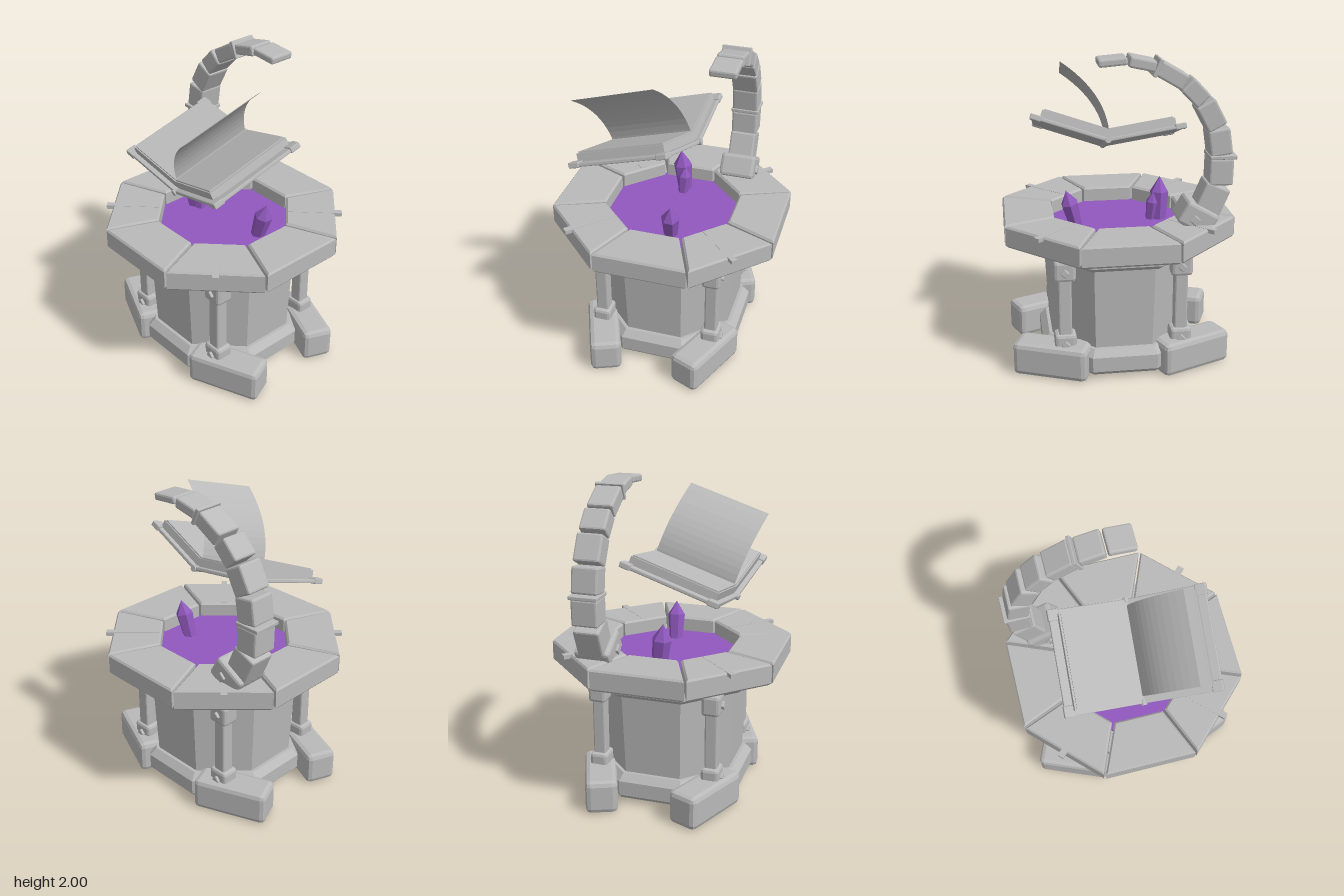
import * as THREE from 'three';
import { RoundedBoxGeometry } from 'three/addons/geometries/RoundedBoxGeometry.js';

const stone = new THREE.MeshStandardMaterial({ color: 0xb9b9b9, flatShading: true });
stone.name = 'grey stone';
const paper = new THREE.MeshStandardMaterial({ color: 0xb9b9b9, flatShading: true, side: THREE.DoubleSide });
paper.name = 'grey paper';
const purple = new THREE.MeshStandardMaterial({ color: 0x9058bd, flatShading: true });
purple.name = 'purple magic';

function add(parent, name, geometry, material, x = 0, y = 0, z = 0) {
  const m = new THREE.Mesh(geometry, material);
  m.name = name;
  m.position.set(x, y, z);
  parent.add(m);
  return m;
}

// box with chamfered edges
const block = (w, h, d, b = 0.012) => new RoundedBoxGeometry(w, h, d, 1, b);

// octagonal drum with flats on the axes; a0 and a1 are centre-to-flat distances
function drum(parent, name, material, y0, y1, a0, a1 = a0) {
  const k = Math.cos(Math.PI / 8);
  const g = new THREE.CylinderGeometry(a1 / k, a0 / k, y1 - y0, 8).rotateY(Math.PI / 8);
  return add(parent, name, g, material, 0, (y0 + y1) / 2, 0);
}

function buildWell(root) {
  drum(root, 'plinthFoot', stone, 0.035, 0.06, 0.47, 0.49);
  drum(root, 'plinth', stone, 0.06, 0.155, 0.49);
  drum(root, 'plinthSlope', stone, 0.155, 0.2, 0.49, 0.45);
  drum(root, 'body', stone, 0.2, 0.74, 0.43, 0.455);
  drum(root, 'mouldingSlope', stone, 0.73, 0.76, 0.485, 0.52);
  drum(root, 'moulding', stone, 0.76, 0.8, 0.52);
  drum(root, 'rimSupport', stone, 0.795, 0.85, 0.55);
  drum(root, 'pool', purple, 0.845, 0.885, 0.42);

  // eight wedge stones around the pool
  const b = 0.012, t = Math.tan(Math.PI / 8), inner = 0.4 + b, outer = 0.715 - b;
  const wi = inner * t - 0.01 - b, wo = outer * t - 0.006 - b;
  const wedge = new THREE.Shape([[-wi, inner], [wi, inner], [wo, outer], [-wo, outer]]
    .map(p => new THREE.Vector2(...p)));
  const rimGeo = new THREE.ExtrudeGeometry(wedge, {
    depth: 0.135 - 2 * b, bevelEnabled: true, bevelSize: b, bevelThickness: b, bevelSegments: 1
  }).rotateX(Math.PI / 2).translate(0, 0.98 - b, 0);
  for (let i = 0; i < 8; i++) {
    const s = add(root, 'rimStone', rimGeo, stone);
    s.rotation.y = i * Math.PI / 4;
    // flush tie bars across the diagonal stones
    if (i % 2) {
      const bar = new THREE.BoxGeometry(0.04, 0.025, 0.34).translate(0, 0.969, 0.585);
      add(root, 'tieBar', bar, stone).rotation.y = i * Math.PI / 4;
    }
  }
}

// square stud turned on its point, facing along z
function stud(parent, x, y, z, s = 0.042) {
  add(parent, 'stud', block(s, s, 0.03, 0.006), stone, x, y, z).rotation.z = Math.PI / 4;
}

function buildLegs(root) {
  for (const sx of [-1, 1]) for (const sz of [-1, 1]) {
    const leg = new THREE.Group();
    leg.name = 'leg';
    const x = sx * 0.362, z = sz * 0.365;
    add(leg, 'column', block(0.082, 0.5, 0.08, 0.01), stone, x, 0.45, z);
    add(leg, 'capital', block(0.135, 0.135, 0.115, 0.02), stone, x, 0.71, z);
    add(leg, 'capitalTop', block(0.085, 0.04, 0.08, 0.008), stone, x, 0.775, z);
    add(leg, 'columnBase', block(0.135, 0.13, 0.115, 0.02), stone, x, 0.225, z);
    stud(leg, x, 0.705, z + sz * 0.06);
    stud(leg, x, 0.225, z + sz * 0.06);
    const foot = add(leg, 'foot', block(0.48, 0.215, 0.2, 0.032), stone, sx * 0.437, 0.1115, sz * 0.345);
    foot.rotation.y = sx * sz * Math.PI / 8;
    root.add(leg);
  }
}

function buildArch(root) {
  const arch = new THREE.Group();
  arch.name = 'arch';
  arch.position.z = -0.333;
  // start x, y, end x, y, thickness
  const stones = [
    [-0.5, 1.035, -0.575, 1.21, 0.16], [-0.585, 1.215, -0.588, 1.38, 0.148],
    [-0.587, 1.4, -0.563, 1.56, 0.135], [-0.558, 1.568, -0.477, 1.718, 0.125],
    [-0.47, 1.727, -0.37, 1.832, 0.11], [-0.358, 1.838, -0.2, 1.93, 0.095],
    [-0.183, 1.938, -0.028, 1.972, 0.065], [-0.018, 1.976, 0.15, 1.962, 0.046]
  ];
  for (const [x0, y0, x1, y1, t] of stones) {
    const len = Math.hypot(x1 - x0, y1 - y0);
    const m = add(arch, 'archStone', block(len, t, 0.165, 0.012), stone, (x0 + x1) / 2, (y0 + y1) / 2);
    m.rotation.z = Math.atan2(y1 - y0, x1 - x0);
  }
  // thin collars between stones
  add(arch, 'collar', block(0.165, 0.024, 0.178, 0.005), stone, -0.595, 1.39);
  add(arch, 'collar', block(0.11, 0.024, 0.178, 0.005), stone, -0.193, 1.932).rotation.z = -1.15;
  // anchor block on the rim
  const anchor = add(arch, 'anchor', block(0.22, 0.15, 0.225, 0.02), stone, -0.45, 1.015);
  anchor.rotation.z = 0.52;
  stud(arch, -0.425, 1.015, 0.112, 0.05);
  stud(arch, -0.425, 1.015, -0.112, 0.05);
  root.add(arch);
}

// leaning six-sided crystal with a pointed tip
function crystal(parent, base, tip, r) {
  const dir = new THREE.Vector3().subVectors(tip, base), h = dir.length();
  const profile = [[0, 0], [r * 0.75, 0], [r, h * 0.65], [0, h]].map(p => new THREE.Vector2(...p));
  const m = add(parent, 'crystal', new THREE.LatheGeometry(profile, 6), purple);
  m.position.copy(base);
  m.quaternion.setFromUnitVectors(new THREE.Vector3(0, 1, 0), dir.normalize());
}

function buildBook(root) {
  const book = new THREE.Group();
  book.name = 'book';
  const spine = new THREE.Vector3(-0.04, -0.19, 0.6).normalize();
  const L = 0.635;
  // each half lies in its own plane: x across, y out of the page, z along the spine
  const half = (name, across) => {
    const x = across.clone().addScaledVector(spine, -across.dot(spine)).normalize();
    const y = new THREE.Vector3().crossVectors(spine, x);
    const g = new THREE.Group();
    g.name = name;
    g.quaternion.setFromRotationMatrix(new THREE.Matrix4().makeBasis(x, y, spine));
    g.position.set(0.03, 1.262, 0.41);
    book.add(g);
    return g;
  };
  const right = half('rightHalf', new THREE.Vector3(0.46, 0.145, 0.075));
  const left = half('leftHalf', new THREE.Vector3(0.485, -0.08, 0.015));
  for (const [g, s] of [[right, 1], [left, -1]]) {
    add(g, 'cover', block(0.485, 0.024, L, 0.006), stone, s * 0.245, 0.012, -L / 2);
    add(g, 'pages', new THREE.BoxGeometry(0.43, 0.05, L - 0.06), stone, s * 0.22, 0.048, -L / 2);
    add(g, 'topPages', new THREE.BoxGeometry(0.42, 0.01, L - 0.075), stone, s * 0.213, 0.077, -L / 2);
    for (const z of [-0.03, 0.03 - L]) {
      add(g, 'coverCorner', block(0.07, 0.036, 0.07, 0.006), stone, s * 0.458, 0.013, z);
    }
  }
  const rod = new THREE.CylinderGeometry(0.02, 0.02, L + 0.02, 8).rotateX(Math.PI / 2);
  add(right, 'spine', rod, stone, 0, 0.012, -L / 2);

  // page caught mid-turn
  const curve = new THREE.QuadraticBezierCurve(
    new THREE.Vector2(0.005, 0.06), new THREE.Vector2(0.1, 0.29), new THREE.Vector2(0.42, 0.385));
  const sheet = new THREE.PlaneGeometry(1, L - 0.09, 12, 1);
  const pos = sheet.attributes.position;
  for (let i = 0; i < pos.count; i++) {
    const p = curve.getPoint(pos.getX(i) + 0.5);
    pos.setXYZ(i, p.x, p.y, -pos.getY(i) - L / 2);
  }
  sheet.computeVertexNormals();
  add(right, 'turningPage', sheet, paper);
  root.add(book);
}

export function createModel() {
  const root = new THREE.Group();
  root.name = 'enchantedWell';
  buildWell(root);
  buildLegs(root);
  buildArch(root);
  buildBook(root);
  const v = (x, y, z) => new THREE.Vector3(x, y, z);
  crystal(root, v(-0.285, 0.87, 0.0), v(-0.295, 1.158, 0.03), 0.062);
  crystal(root, v(-0.23, 0.87, 0.0), v(-0.25, 1.07, -0.01), 0.042);
  crystal(root, v(0.255, 0.87, -0.06), v(0.32, 1.118, -0.075), 0.058);
  return root;
}
